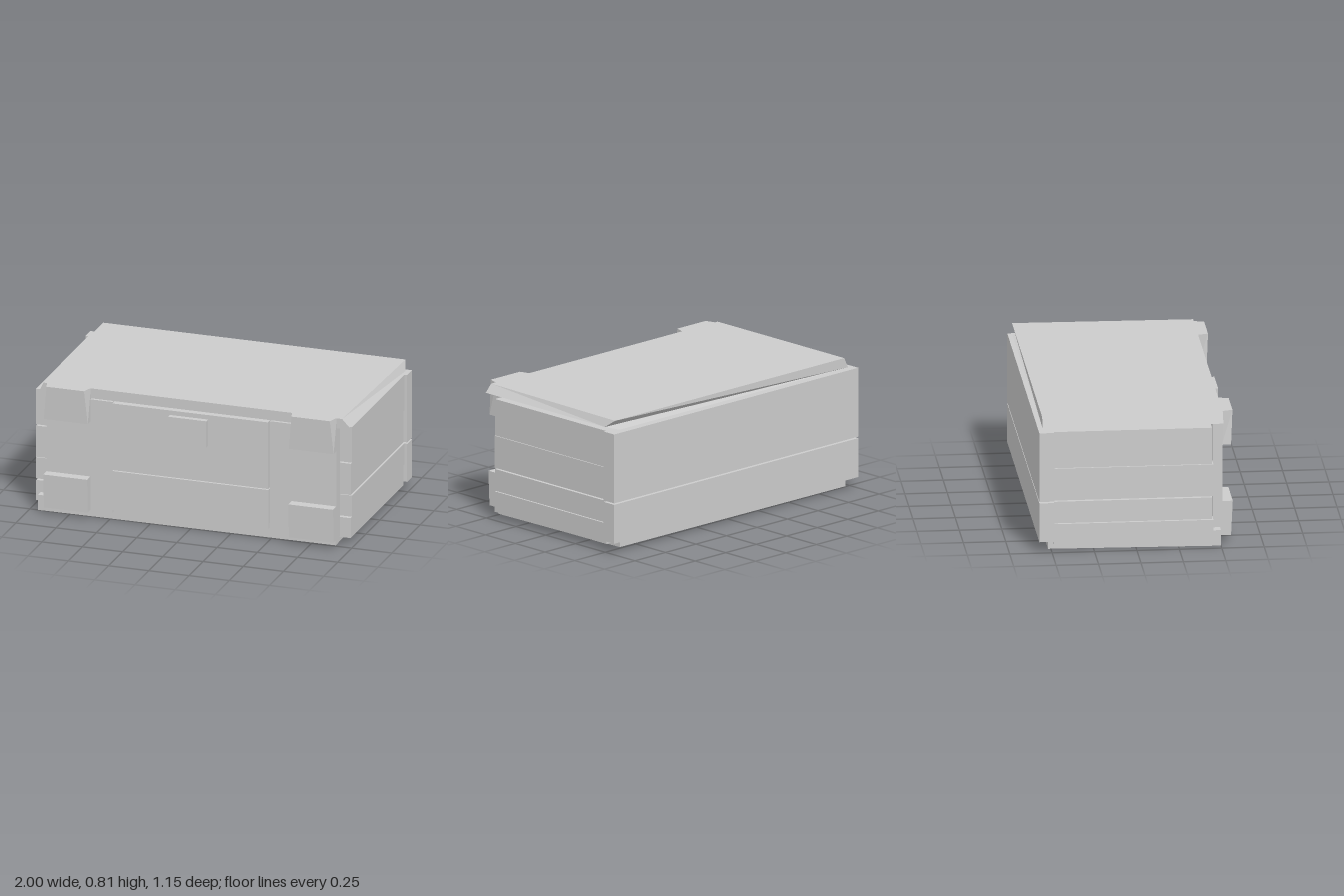
import * as THREE from 'three';

const material = new THREE.MeshStandardMaterial({ color: 0xcccccc, flatShading: true });

// Box given by its limits; the optional warp moves each corner by a rule
function addBoard(group, name, [x0, x1], [y0, y1], [z0, z1], warp) {
  const geometry = new THREE.BoxGeometry(x1 - x0, y1 - y0, z1 - z0);
  geometry.translate((x0 + x1) / 2, (y0 + y1) / 2, (z0 + z1) / 2);
  if (warp) {
    const p = geometry.attributes.position;
    const v = new THREE.Vector3();
    for (let i = 0; i < p.count; i++) {
      v.fromBufferAttribute(p, i);
      warp(v);
      p.setXYZ(i, v.x, v.y, v.z);
    }
    geometry.computeVertexNormals();
  }
  const mesh = new THREE.Mesh(geometry, material);
  mesh.name = name;
  group.add(mesh);
  return mesh;
}

// Lid lofted from a front and a back cross-section, with a flared right edge
function createLid() {
  const section = (z, edgeZ, topRight) => [
    [-0.94, 0.745, z], [0.93, 0.745, z], [0.99, 0.76, edgeZ], [topRight, 0.807, z], [-0.91, 0.807, z],
  ];
  const corners = [...section(0.515, 0.515, 0.945), ...section(-0.55, -0.485, 0.968)];
  const n = 5;
  const index = [];
  for (let i = 0; i < n; i++) {
    const j = (i + 1) % n;
    index.push(i, i + n, j, j, i + n, j + n);
  }
  for (let i = 1; i < n - 1; i++) index.push(0, i, i + 1, n, n + i + 1, n + i);
  const geometry = new THREE.BufferGeometry();
  geometry.setAttribute('position', new THREE.Float32BufferAttribute(corners.flat(), 3));
  geometry.setIndex(index);
  const flat = geometry.toNonIndexed();
  flat.computeVertexNormals();
  const lid = new THREE.Mesh(flat, material);
  lid.name = 'lid';
  return lid;
}

export function createModel() {
  const crate = new THREE.Group();
  crate.name = 'crate';

  // Base slab, its underside rising slightly to the back and right
  addBoard(crate, 'baseSlab', [-0.95, 0.9], [0, 0.095], [-0.52, 0.5], (v) => {
    if (v.y < 0.05) v.y = (v.z < 0 ? 0.01 : 0) + (v.x > 0 ? 0.005 : 0);
  });

  // Back boards, running the full width
  addBoard(crate, 'backBoardLower', [-1, 1], [0.067, 0.305], [-0.575, -0.487]);
  addBoard(crate, 'backBoardUpper', [-1, 1], [0.314, 0.735], [-0.575, -0.487]);

  // Side planks
  const rows = [[0.043, 0.168], [0.175, 0.307], [0.313, 0.508], [0.513, 0.735]];
  for (const side of [-1, 1]) {
    const group = new THREE.Group();
    group.name = side > 0 ? 'leftSide' : 'rightSide';
    rows.forEach((row, i) => {
      const outer = i % 2 ? 0.982 : 0.977;
      const xs = side > 0 ? [0.9, outer] : [-outer, -0.9];
      addBoard(group, 'sidePlank', xs, row, [-0.487, i % 2 ? 0.445 : 0.453]);
    });
    crate.add(group);
  }

  // Front: wide uprights with a slightly raised panel between them
  addBoard(crate, 'frontUprightRight', [-0.89, -0.48], [0.045, 0.738], [0.455, 0.515]);
  addBoard(crate, 'frontUprightLeft', [0.498, 0.91], [0.045, 0.738], [0.455, 0.515]);
  addBoard(crate, 'frontPanelLower', [-0.478, 0.49], [0.067, 0.31], [0.455, 0.525]);
  addBoard(crate, 'frontPanelUpper', [-0.478, 0.49], [0.318, 0.735], [0.455, 0.53]);
  addBoard(crate, 'latch', [-0.12, 0.117], [0.543, 0.707], [0.525, 0.562]);

  // Corner blocks: faces lean outward to the top; upper ones have cut corners
  for (const [x0, x1] of [[-0.89, -0.618], [0.632, 0.91]]) {
    const middle = (x0 + x1) / 2;
    for (const [y0, y1] of [[0.046, 0.255], [0.6, 0.807]]) {
      const upper = y0 > 0.5;
      addBoard(crate, upper ? 'upperCornerBlock' : 'lowerCornerBlock', [x0, x1], [y0, y1], [0.51, 0.575], (v) => {
        if (v.z < 0.55) return;
        if (v.y < (y0 + y1) / 2) v.z = 0.565;
        else if (upper) v.x -= Math.sign(v.x - middle) * 0.02;
      });
    }
  }

  crate.add(createLid());
  return crate;
}
